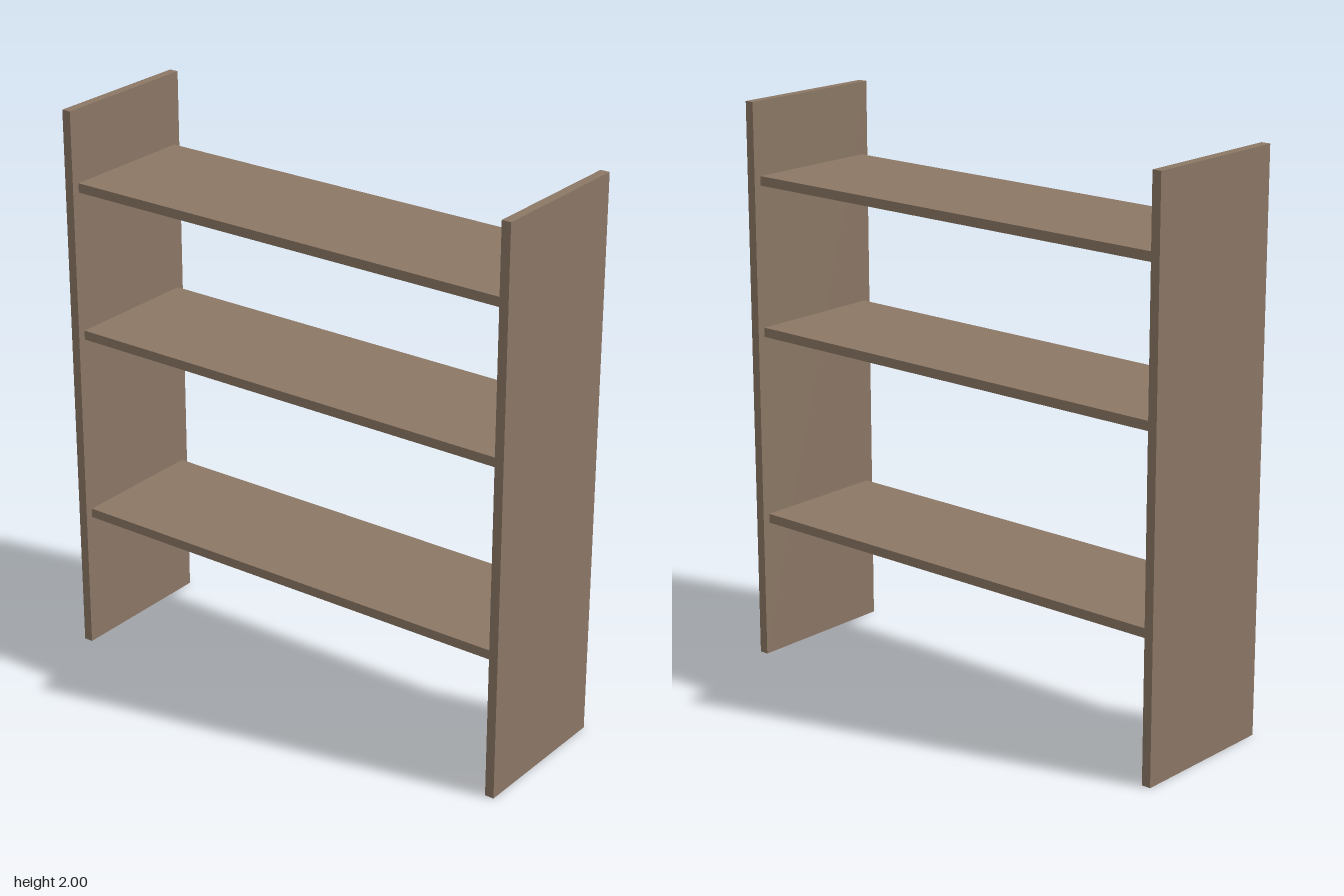
import * as THREE from 'three';

export function createModel() {
  const group = new THREE.Group();
  group.name = 'bookshelf';
  const wood = new THREE.MeshStandardMaterial({ name: 'brown wood', color: 0x8b7765 });
  const thickness = 0.033;
  const halfWidth = 0.886;
  const innerWidth = 2 * (halfWidth - thickness);

  function board(name, w, h, d, x, y) {
    const mesh = new THREE.Mesh(new THREE.BoxGeometry(w, h, d), wood);
    mesh.name = name;
    mesh.position.set(x, y, 0);
    group.add(mesh);
  }

  // Upright side panels
  for (const [name, side] of [['leftPanel', 1], ['rightPanel', -1]]) {
    board(name, thickness, 2, 0.556, side * (halfWidth - thickness / 2), 1);
  }

  // Shelves, slightly shallower than the panels
  const shelves = { lowerShelf: 0.507, middleShelf: 1.19, upperShelf: 1.725 };
  for (const [name, y] of Object.entries(shelves)) {
    board(name, innerWidth, thickness, 0.5, 0, y);
  }

  return group;
}
